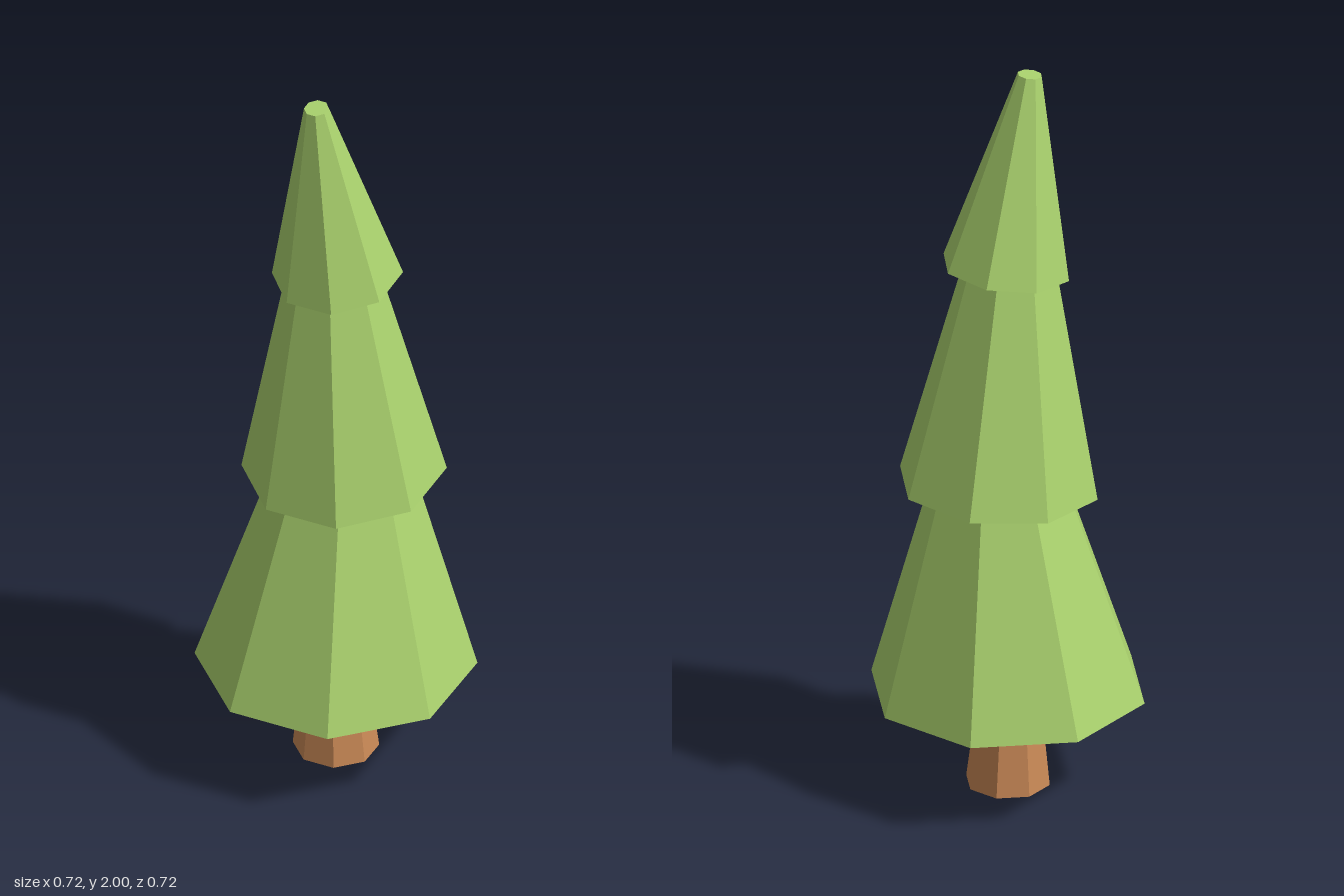
import * as THREE from 'three';

const SIDES = 8;

// Tapered eight-sided section; its base centre sits at `base`.
function section(name, color, { base, height, bottom, top, shear = [0, 0], lean = 0, twist = 0 }) {
  const geometry = new THREE.CylinderGeometry(top, bottom, height, SIDES);
  geometry.translate(0, height / 2, 0);
  // slide the top sideways while the base stays level
  geometry.applyMatrix4(new THREE.Matrix4().set(
    1, shear[0] / height, 0, 0,
    0, 1, 0, 0,
    0, shear[1] / height, 1, 0,
    0, 0, 0, 1));
  const mesh = new THREE.Mesh(geometry, new THREE.MeshStandardMaterial({ color, flatShading: true }));
  mesh.name = name;
  mesh.position.set(...base);
  mesh.rotation.set(0, twist, lean, 'ZYX');
  return mesh;
}

export function createModel() {
  const tree = new THREE.Group();
  tree.name = 'firTree';
  const bark = 0xcb8a57, needles = 0xabd36e;

  tree.add(
    section('trunk', bark, { base: [0, 0, 0], height: 0.29, bottom: 0.11, top: 0.077, shear: [-0.005, 0] }),
    // level bottom tier, drifting slightly towards its top
    section('lowerBranches', needles, { base: [0, 0.265, 0], height: 0.68, bottom: 0.36, top: 0.15, shear: [0.024, 0.005] }),
    // upper tiers lean to one side
    section('middleBranches', needles, { base: [0.025, 0.85, 0.003], height: 0.68, bottom: 0.262, top: 0.107, lean: 0.058, twist: -0.02 }),
    section('topBranches', needles, { base: [0.005, 1.46, 0], height: 0.54, bottom: 0.168, top: 0.032, shear: [0, -0.008], lean: 0.12, twist: -0.04 }),
  );
  return tree;
}
